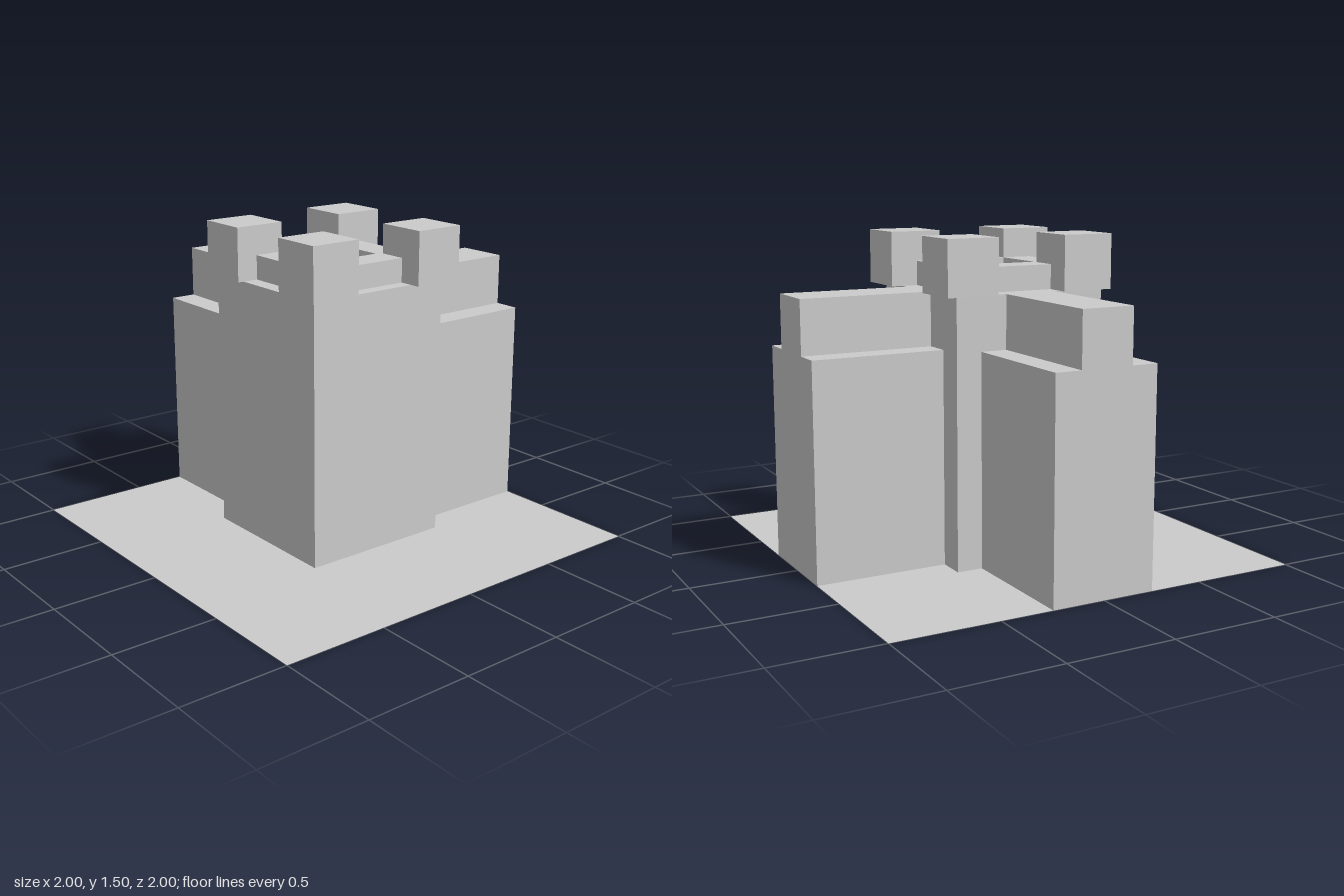
import * as THREE from 'three';

const material = new THREE.MeshStandardMaterial({ color: 0xcccccc, flatShading: true });

export function createModel() {
  const model = new THREE.Group();
  model.name = 'cornerTower';

  const add = (name, geometry, mat = material) => {
    const mesh = new THREE.Mesh(geometry, mat);
    mesh.name = name;
    model.add(mesh);
    return mesh;
  };
  // Box given by its minimum and maximum corners
  const box = (name, [x0, y0, z0], [x1, y1, z1]) =>
    add(name, new THREE.BoxGeometry(x1 - x0, y1 - y0, z1 - z0))
      .position.set((x0 + x1) / 2, (y0 + y1) / 2, (z0 + z1) / 2);

  // Flat ground sheet
  const sheet = material.clone();
  sheet.side = THREE.DoubleSide;
  add('groundSheet', new THREE.PlaneGeometry(2, 2).rotateX(-Math.PI / 2), sheet);

  // Square tower
  box('tower', [-0.375, 0, -0.375], [0.37, 1.25, 0.375]);

  // Two walls with a stepped section, meeting the tower at its back and right
  const section = new THREE.Shape([
    [-0.25, 0], [0.25, 0], [0.25, 1], [0.125, 1],
    [0.125, 1.25], [-0.125, 1.25], [-0.125, 1], [-0.25, 1],
  ].map(([x, y]) => new THREE.Vector2(x, y)));
  const wall = () => new THREE.ExtrudeGeometry(section, { depth: 0.625, bevelEnabled: false });
  add('backWall', wall()).position.set(0.007, 0, -1);
  const sideWall = add('rightWall', wall());
  sideWall.rotation.y = Math.PI / 2;
  sideWall.position.set(-1, 0, -0.002);

  // Low parapet ring around a square opening on the tower roof
  const ring = new THREE.Shape([
    [-0.29, -0.3], [0.305, -0.3], [0.305, 0.305], [-0.29, 0.305],
  ].map(([x, y]) => new THREE.Vector2(x, y)));
  ring.holes.push(new THREE.Path([
    [-0.14, -0.155], [-0.14, 0.155], [0.155, 0.155], [0.155, -0.155],
  ].map(([x, y]) => new THREE.Vector2(x, y))));
  const parapet = new THREE.ExtrudeGeometry(ring, { depth: 0.115, bevelEnabled: false });
  add('parapet', parapet.rotateX(-Math.PI / 2)).position.y = 1.25;

  // Overhanging corner blocks
  for (const [x, z] of [[-0.41, -0.435], [0.17, -0.435], [-0.41, 0.155], [0.155, 0.155]]) {
    box('cornerBlock', [x, 1.25, z], [x + 0.25, 1.505, z + 0.25]);
  }

  return model;
}
